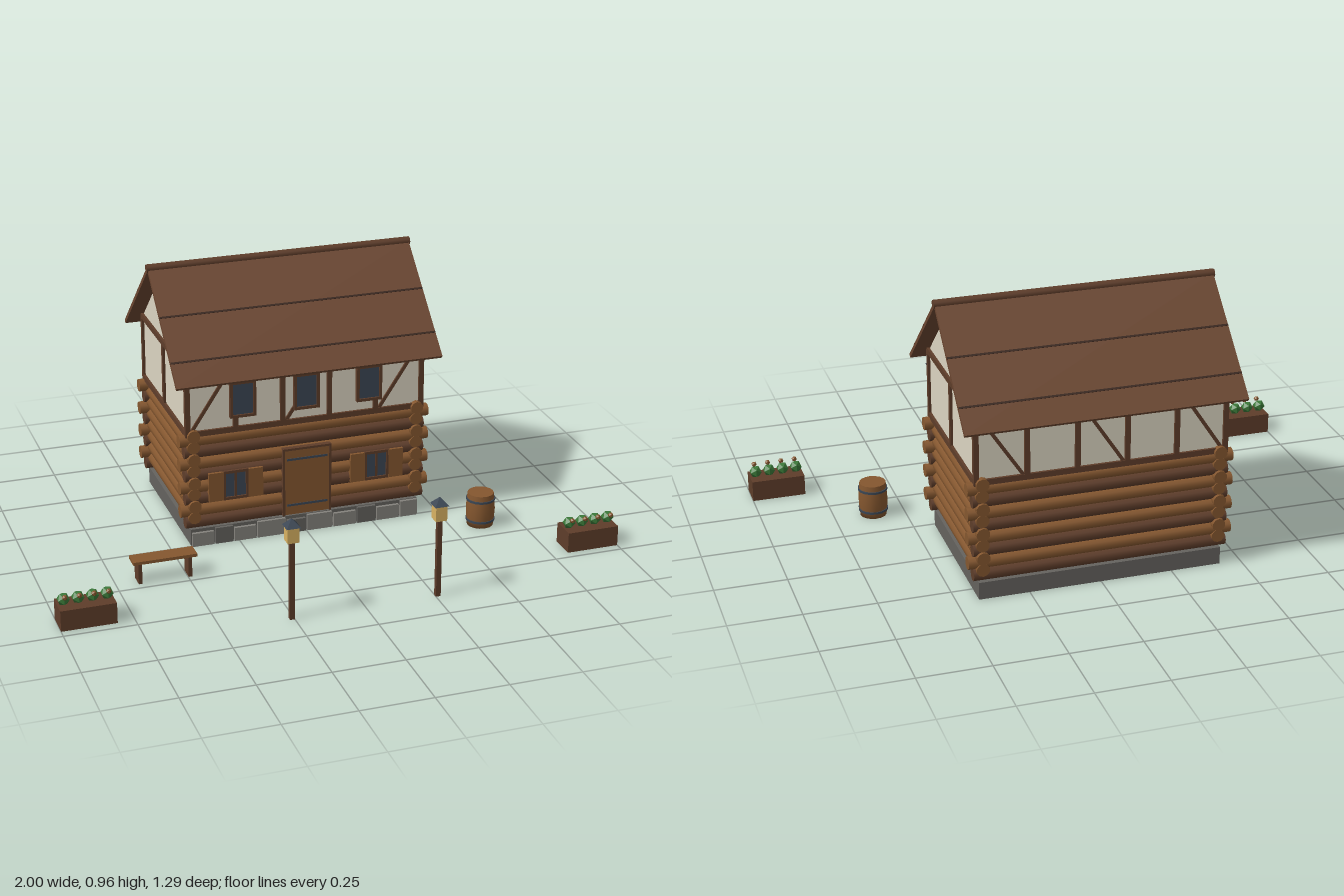
import * as THREE from 'three';

const mat = (name, color) => {
  const m = new THREE.MeshStandardMaterial({ color });
  m.name = name;
  return m;
};

export function createModel() {
  const log = mat('light wood', 0x85572f);
  const timber = mat('dark timber', 0x5e3d2a);
  const roofing = mat('roof boards', 0x6b4630);
  const plaster = mat('plaster', 0xdcd5c2);
  const iron = mat('blue grey iron and glass', 0x3c4754);
  const lampGlass = mat('lamp glass', 0xd9b262);
  const leaf = mat('leaf green', 0x3a7838);
  const stone = mat('light stone', 0x84827c);
  const stoneDark = mat('dark stone', 0x64625e);
  const seam = mat('roof seam', 0x38241a);

  const model = new THREE.Group();
  const ZC = -0.29; // centre line of the house

  const group = (name, x = 0, y = 0, z = 0, parent = model) => {
    const g = new THREE.Group();
    g.name = name;
    g.position.set(x, y, z);
    parent.add(g);
    return g;
  };
  const add = (parent, name, geo, material, x, y, z) => {
    const m = new THREE.Mesh(geo, material);
    m.name = name;
    m.position.set(x, y, z);
    parent.add(m);
    return m;
  };
  const box = (parent, name, material, w, h, d, x, y, z) =>
    add(parent, name, new THREE.BoxGeometry(w, h, d), material, x, y, z);

  // Stone footing with a row of facing stones on the front
  const footing = group('footing');
  box(footing, 'foundation', stoneDark, 0.85, 0.062, 0.572, 0, 0.031, ZC - 0.002);
  const widths = [0.085, 0.07, 0.085, 0.11, 0.075, 0.1, 0.09, 0.075, 0.09, 0.07];
  let sx = -0.425;
  widths.forEach((w, i) => {
    const h = 0.05 + 0.01 * ((i * 3) % 2);
    box(footing, 'facingStone', i % 3 === 1 ? stoneDark : stone, w - 0.006, h, 0.016, sx + w / 2, h / 2, -0.002);
    sx += w;
  });

  // Log storey: crossing logs that overlap at the corners
  const logs = group('logWalls');
  box(logs, 'wallCore', timber, 0.81, 0.365, 0.53, 0, 0.2425, ZC);
  for (let i = 0; i < 8; i++) {
    const y = 0.089 + i * 0.0445;
    const long = i % 2;
    const material = long ? log : timber;
    for (const s of [-1, 1]) {
      const a = add(logs, 'longLog', new THREE.CylinderGeometry(0.023, 0.023, long ? 0.92 : 0.885, 10), material, 0, y, ZC + s * 0.272);
      a.rotation.z = Math.PI / 2;
      const b = add(logs, 'sideLog', new THREE.CylinderGeometry(0.023, 0.023, long ? 0.61 : 0.595, 10), log, s * 0.412, y + 0.022, ZC);
      b.rotation.x = Math.PI / 2;
    }
  }

  // Timber framed upper storey
  const upper = group('upperStorey');
  box(upper, 'plasterWalls', plaster, 0.86, 0.25, 0.57, 0, 0.545, ZC);
  for (const s of [-1, 1]) {
    const z = ZC + s * 0.285;
    for (const y of [0.428, 0.666]) {
      box(upper, 'longBeam', timber, 0.876, 0.02, 0.018, 0, y, z);
      box(upper, 'gableBeam', timber, 0.018, 0.02, 0.588, s * 0.43, y, ZC);
    }
    for (let i = 0; i < 6; i++) {
      box(upper, 'post', timber, 0.018, 0.24, 0.018, -0.43 + i * 0.172, 0.546, z);
    }
    for (const x of [-0.344, 0, 0.344]) {
      const brace = box(upper, 'brace', timber, 0.012, 0.265, 0.013, x, 0.547, z);
      brace.rotation.z = -Math.atan2(0.145, 0.22);
    }
    box(upper, 'gablePost', timber, 0.018, 0.24, 0.018, s * 0.43, 0.546, ZC);
  }

  // Plaster gable as a prism along the ridge
  const tri = new THREE.Shape([
    new THREE.Vector2(-0.284, 0.67), new THREE.Vector2(0.284, 0.67), new THREE.Vector2(0, 0.93),
  ]);
  const gableGeo = new THREE.ExtrudeGeometry(tri, { depth: 0.86, bevelEnabled: false });
  gableGeo.translate(0, 0, -0.43).rotateY(Math.PI / 2);
  add(upper, 'gable', gableGeo, plaster, 0, 0, ZC);

  // Roof slopes, board seams and ridge pole
  const roof = group('roof');
  const run = 0.35, drop = 0.318, slope = Math.atan2(drop, run), span = Math.hypot(run, drop);
  for (const s of [-1, 1]) {
    const side = group('roofSlope', 0, 0.944, ZC, roof);
    side.rotation.x = s * slope;
    box(side, 'roofBoards', roofing, 0.966, 0.014, span, 0, 0, s * span / 2);
    for (const t of [0.42, 0.795]) {
      box(side, 'boardSeam', seam, 0.966, 0.005, 0.007, 0, 0.006, s * span * t);
    }
  }
  const ridge = add(roof, 'ridgePole', new THREE.CylinderGeometry(0.015, 0.015, 0.974, 10), timber, 0, 0.945, ZC);
  ridge.rotation.z = Math.PI / 2;

  // Windows: pane with a four piece frame and optional shutters
  const makeWindow = (x, y, w, h, shutters) => {
    const g = group('window', x, y, 0, model);
    box(g, 'pane', iron, w, h, 0.02, 0, 0, -0.005);
    for (const s of [-1, 1]) {
      box(g, 'frameSide', timber, 0.01, h + 0.01, 0.028, s * w / 2, 0, -0.003);
      box(g, 'frameRail', timber, w + 0.01, 0.01, 0.028, 0, s * h / 2, -0.003);
      if (shutters) box(g, 'shutter', log, 0.054, h + 0.008, 0.022, s * (w / 2 + 0.03), 0, 0.002);
    }
    if (shutters) box(g, 'glazingBar', timber, 0.008, h, 0.024, 0, 0, -0.004);
  };
  for (const x of [-0.232, 0, 0.232]) makeWindow(x, 0.54, 0.084, 0.124, false);
  for (const x of [-0.262, 0.262]) makeWindow(x, 0.221, 0.084, 0.1, true);

  // Door with iron straps
  const door = group('door', 0, 0.2, 0);
  box(door, 'doorLeaf', log, 0.166, 0.25, 0.024, 0, 0, 0);
  for (const s of [-1, 1]) {
    box(door, 'doorJamb', timber, 0.008, 0.256, 0.026, s * 0.086, 0, 0);
    box(door, 'doorStrap', iron, 0.15, 0.008, 0.003, 0, s * 0.088, 0.0125);
  }
  box(door, 'doorLintel', timber, 0.18, 0.008, 0.026, 0, 0.126, 0);

  // Lamp posts and planters in mirrored pairs
  for (const s of [-1, 1]) {
    const lamp = group('lampPost', s * 0.258, 0, 0.62);
    box(lamp, 'lampPole', timber, 0.017, 0.285, 0.017, 0, 0.1425, 0);
    box(lamp, 'lantern', lampGlass, 0.04, 0.055, 0.04, 0, 0.312, 0);
    const cap = new THREE.ConeGeometry(0.035, 0.028, 4, 1).toNonIndexed();
    cap.computeVertexNormals();
    cap.rotateY(Math.PI / 4);
    add(lamp, 'lampCap', cap, iron, 0, 0.352, 0);

    const planter = group('planter', s * 0.905, 0, 0.42);
    box(planter, 'planterBox', timber, 0.19, 0.074, 0.095, 0, 0.037, 0);
    for (let i = 0; i < 4; i++) {
      const x = (i - 1.5) * 0.049;
      const bush = new THREE.IcosahedronGeometry(0.023, 0);
      add(planter, 'bush', bush, leaf, x, 0.093, 0);
      add(planter, 'blossom', new THREE.IcosahedronGeometry(0.01, 0), log, x, 0.111, 0.026);
    }
  }

  // Bench
  const bench = group('bench', -0.58, 0, 0.195);
  box(bench, 'seat', log, 0.225, 0.011, 0.062, 0, 0.08, 0);
  for (const s of [-1, 1]) box(bench, 'benchLeg', timber, 0.013, 0.075, 0.054, s * 0.088, 0.0375, 0);

  // Barrel with two hoops
  const barrel = group('barrel', 0.61, 0, 0.148);
  const profile = [[0, 0], [0.047, 0], [0.05, 0.03], [0.052, 0.062], [0.05, 0.095], [0.047, 0.124]]
    .map(([r, y]) => new THREE.Vector2(r, y));
  add(barrel, 'barrelBody', new THREE.LatheGeometry(profile, 16), log, 0, 0, 0);
  add(barrel, 'barrelLid', new THREE.CylinderGeometry(0.047, 0.047, 0.004, 16), log, 0, 0.122, 0);
  for (const y of [0.023, 0.101]) {
    add(barrel, 'hoop', new THREE.CylinderGeometry(0.0525, 0.0525, 0.008, 16), iron, 0, y, 0);
  }

  return model;
}
